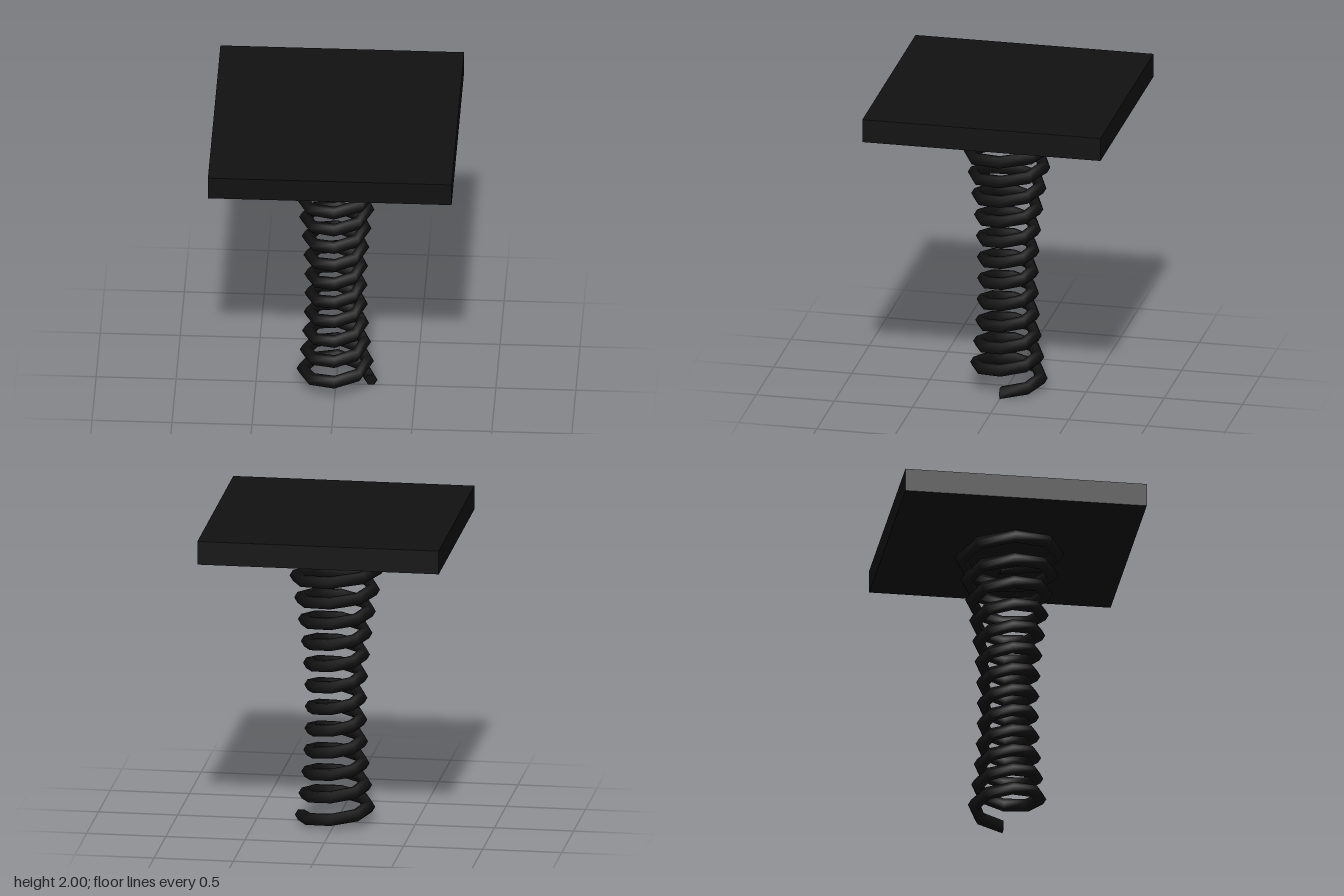
import * as THREE from 'three';

const TURNS = 13, STEPS = 8, SIDES = 6;
const WIRE = 0.04, Y0 = 0.037, PITCH = 0.141;

// Coil radius narrows at the waist and widens towards both ends
const coilRadius = (y) => 0.157 + 0.13 * (y - 0.73) ** 2;

// Helical wire of hexagonal section, eight straight pieces per turn
function springGeometry() {
  const pos = [], index = [];
  const rings = TURNS * STEPS;
  const ring = (i) => {
    const a = (i / STEPS) * Math.PI * 2;
    const y = Y0 + (i / STEPS) * PITCH;
    for (let j = 0; j < SIDES; j++) {
      const b = (j / SIDES) * Math.PI * 2;
      const r = coilRadius(y) + WIRE * Math.cos(b);
      pos.push(r * Math.cos(a), y + WIRE * Math.sin(b), -r * Math.sin(a));
    }
  };
  for (let i = 0; i <= rings; i++) ring(i);
  for (let i = 0; i < rings; i++) {
    for (let j = 0; j < SIDES; j++) {
      const k = (j + 1) % SIDES;
      const a = i * SIDES + j, b = i * SIDES + k;
      index.push(a, b, b + SIDES, a, b + SIDES, a + SIDES);
    }
  }
  // End caps with their own vertices
  for (const end of [0, rings]) {
    const s = pos.length / 3;
    ring(end);
    for (let j = 1; j < SIDES - 1; j++) {
      if (end === 0) index.push(s, s + j + 1, s + j);
      else index.push(s, s + j, s + j + 1);
    }
  }
  const geo = new THREE.BufferGeometry();
  geo.setAttribute('position', new THREE.Float32BufferAttribute(pos, 3));
  geo.setIndex(index);
  geo.computeVertexNormals();
  return geo;
}

export function createModel() {
  const group = new THREE.Group();
  const black = new THREE.MeshStandardMaterial({ color: 0x111111, side: THREE.DoubleSide });

  // Square plate on top
  const plate = new THREE.Mesh(new THREE.BoxGeometry(1.524, 0.15, 1.524), black);
  plate.name = 'topPlate';
  plate.position.y = 1.925;
  group.add(plate);

  // Coil spring below it
  const spring = new THREE.Mesh(springGeometry(), black);
  spring.name = 'spring';
  group.add(spring);

  return group;
}
